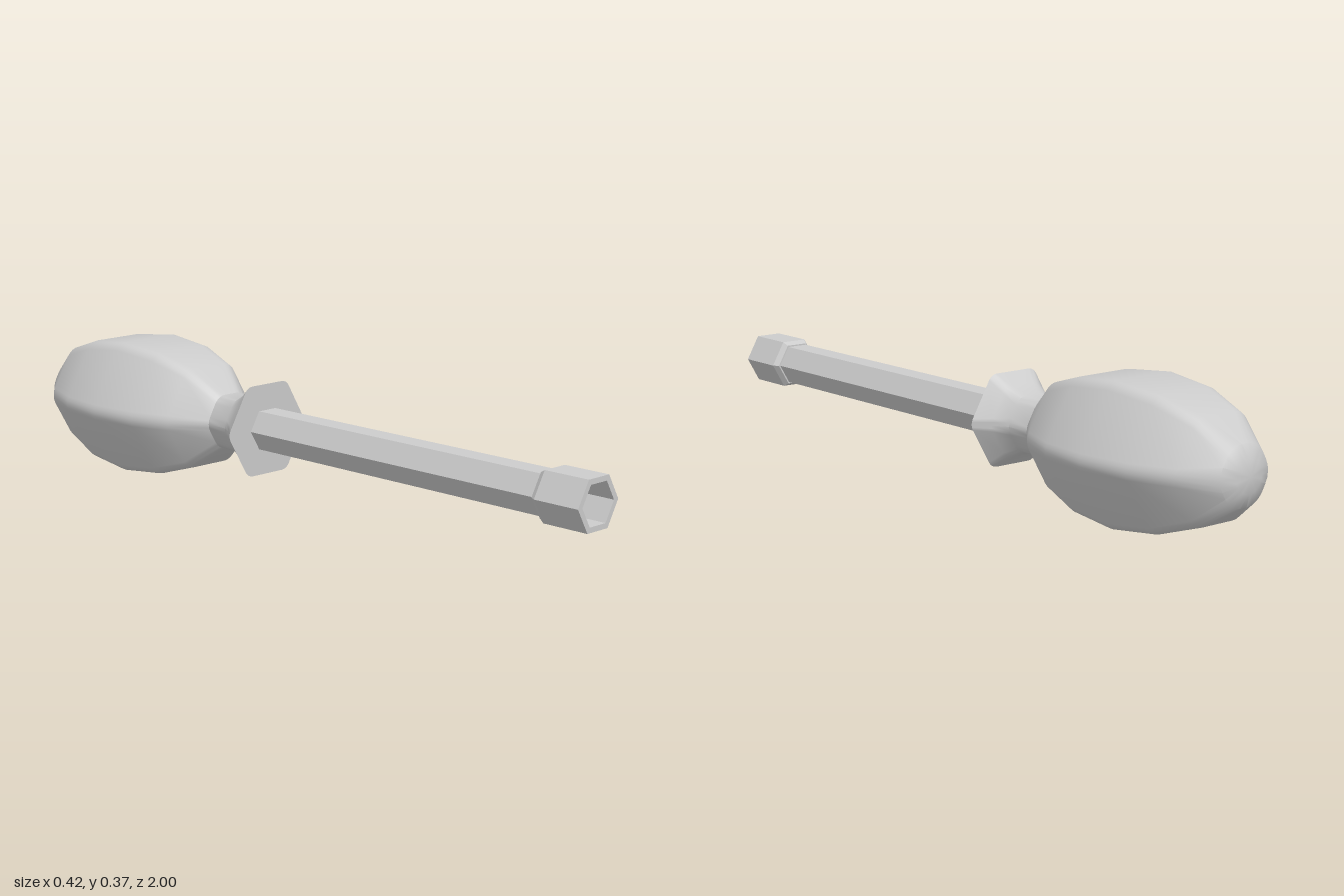
import * as THREE from 'three';
import { toCreasedNormals } from 'three/addons/utils/BufferGeometryUtils.js';

const material = new THREE.MeshStandardMaterial({ color: 0xcccccc });

// Hexagonal ring: apothem a, corner radius r, corners on the x axis
function hexRing(z, a, r, steps) {
  const points = [];
  for (let c = 0; c < 6; c++) {
    const corner = c * Math.PI / 3;
    const d = (a - r) * 2 / Math.sqrt(3);
    for (let s = 0; s <= steps; s++) {
      const t = corner + (steps ? (s / steps - 0.5) * Math.PI / 3 : 0);
      const k = steps ? r : 0;
      points.push([d * Math.cos(corner) + k * Math.cos(t), d * Math.sin(corner) + k * Math.sin(t), z]);
    }
  }
  return points;
}

// Skin a profile of [z, apothem, corner radius] rows
function hexLoft(name, profile, steps, crease) {
  const n = 6 * (steps + 1);
  const positions = [];
  const index = [];
  for (const [z, a, r = 0] of profile) positions.push(...hexRing(z, a, r, steps).flat());
  profile.slice(1).forEach(([, a], i) => {
    for (let j = 0; j < n; j++) {
      const p = i * n + j, q = i * n + (j + 1) % n;
      if (profile[i][1] > 0) index.push(p, p + n, q);
      if (a > 0) index.push(q, p + n, q + n);
    }
  });
  const geometry = new THREE.BufferGeometry();
  geometry.setAttribute('position', new THREE.Float32BufferAttribute(positions, 3));
  geometry.setIndex(index);
  const mesh = new THREE.Mesh(toCreasedNormals(geometry, crease), material);
  mesh.name = name;
  mesh.position.y = 0.187;
  return mesh;
}

export function createModel() {
  const model = new THREE.Group();
  model.name = 'nutDriver';

  // Flared guard, narrow neck and bulging grip with a shallow domed end
  model.add(hexLoft('handle', [
    [-0.14, 0],
    [-0.14, 0.125, 0.03],
    [-0.18, 0.097, 0.035],
    [-0.222, 0.077, 0.045],
    [-0.29, 0.075, 0.04],
    [-0.378, 0.14, 0.042],
    [-0.492, 0.174, 0.042],
    [-0.632, 0.187, 0.042],
    [-0.775, 0.172, 0.042],
    [-0.895, 0.134, 0.045],
    [-0.978, 0.078, 0.06],
    [-0.994, 0.042, 0.038],
    [-1, 0],
  ], 4, 0.56));

  // Plain hexagonal shaft
  model.add(hexLoft('shaft', [
    [0.855, 0], [0.855, 0.053], [-0.16, 0.053], [-0.16, 0],
  ], 0, 0.3));

  // Hollow hexagonal socket with a chamfered shoulder
  model.add(hexLoft('socket', [
    [0.86, 0],
    [0.86, 0.052],
    [1, 0.052],
    [1, 0.066],
    [0.866, 0.066],
    [0.85, 0.057],
    [0.85, 0],
  ], 0, 0.3));

  return model;
}
